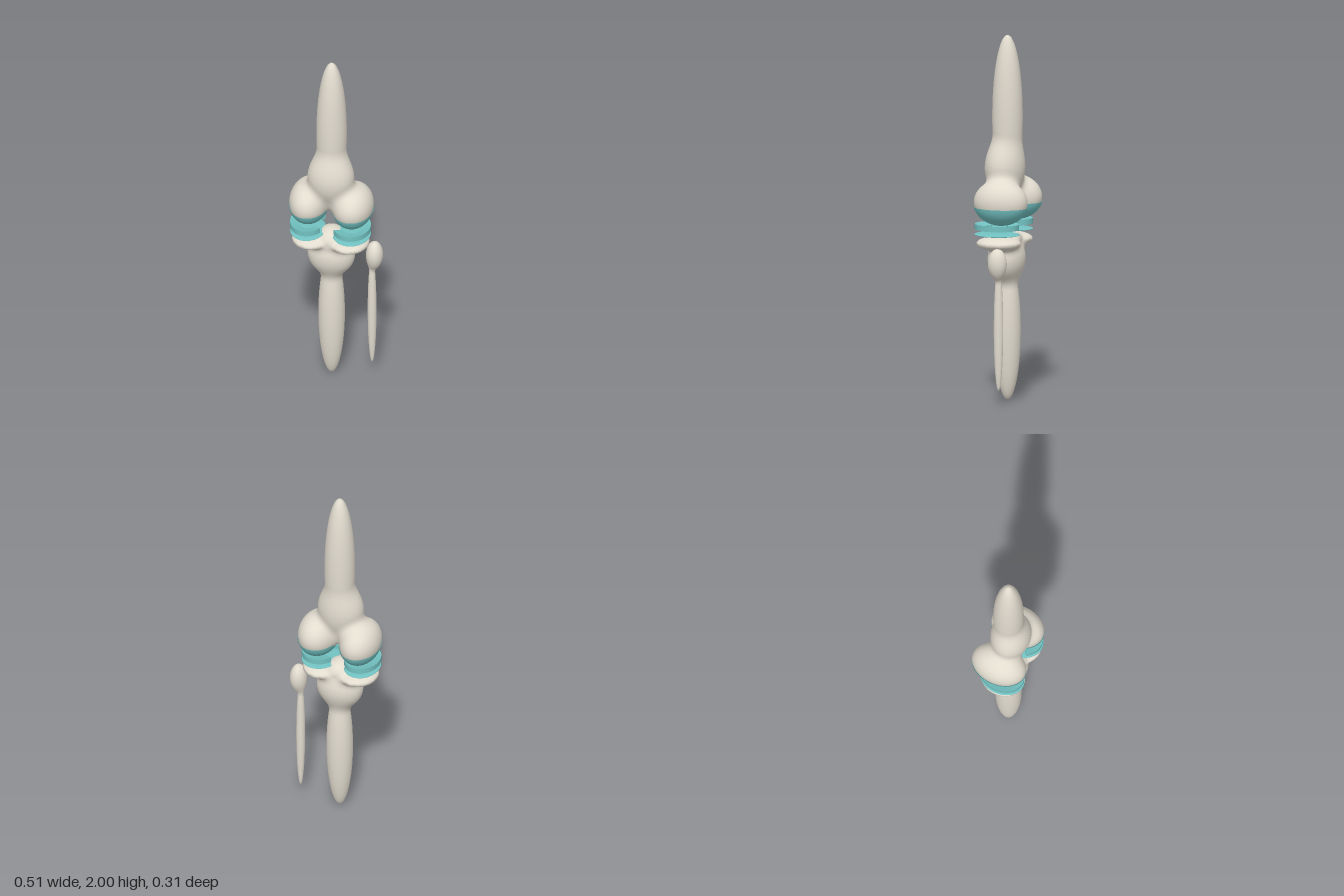
import * as THREE from 'three';

const bone = new THREE.MeshStandardMaterial({ color: 0xe2dccf });
const cartilage = new THREE.MeshStandardMaterial({ color: 0x73c2c2, side: THREE.DoubleSide });

// Approximate distance from a point to an ellipsoid
function ellipsoid([cx, cy, cz], [rx, ry, rz]) {
  return (x, y, z) => {
    const a = (x - cx) / rx, b = (y - cy) / ry, c = (z - cz) / rz;
    const k0 = Math.hypot(a, b, c);
    const k1 = Math.hypot(a / rx, b / ry, c / rz);
    return k1 < 1e-9 ? -Math.min(rx, ry, rz) : (k0 * (k0 - 1)) / k1;
  };
}

// Ellipsoids melted together; each entry is [centre, radii, blend width]
function blend(lobes) {
  const parts = lobes.map(([c, r, k]) => ({ f: ellipsoid(c, r), k }));
  return (x, y, z) => {
    let d = parts[0].f(x, y, z);
    for (const { f, k } of parts.slice(1)) {
      const e = f(x, y, z), h = Math.max(k - Math.abs(d - e), 0) / k;
      d = Math.min(d, e) - h * h * k * 0.25;
    }
    return d;
  };
}

// Smooth skin over a blended field: one vertex per crossed cell, one quad per crossed edge
function skin(field, min, max, step) {
  const n = min.map((m, i) => Math.ceil((max[i] - m) / step) + 1);
  const stride = [1, n[0], n[0] * n[1]];
  const values = new Float32Array(n[0] * n[1] * n[2]);
  const each = (from, visit) => {
    for (let k = from; k < n[2] - 1; k++)
      for (let j = from; j < n[1] - 1; j++)
        for (let i = from; i < n[0] - 1; i++) visit([i, j, k], i + j * stride[1] + k * stride[2]);
  };
  for (let k = 0, q = 0; k < n[2]; k++)
    for (let j = 0; j < n[1]; j++)
      for (let i = 0; i < n[0]; i++) values[q++] = field(min[0] + i * step, min[1] + j * step, min[2] + k * step);

  const gradient = ([x, y, z], e = 0.001) => [
    (field(x + e, y, z) - field(x - e, y, z)) / (2 * e),
    (field(x, y + e, z) - field(x, y - e, z)) / (2 * e),
    (field(x, y, z + e) - field(x, y, z - e)) / (2 * e)];
  const position = [], normal = [], index = [], cellVertex = new Int32Array(values.length).fill(-1);

  each(0, (cell, id) => {
    const sum = [0, 0, 0];
    let hits = 0;
    for (let c = 0; c < 8; c++) {
      for (let a = 0; a < 3; a++) {
        if (c & (1 << a)) continue;
        const bits = [c & 1, (c >> 1) & 1, (c >> 2) & 1];
        const at = id + bits[0] + bits[1] * stride[1] + bits[2] * stride[2];
        const v = values[at], w = values[at + stride[a]];
        if ((v < 0) === (w < 0)) continue;
        bits[a] = v / (v - w);
        bits.forEach((b, i) => { sum[i] += b; });
        hits++;
      }
    }
    if (!hits) return;
    let p = sum.map((s, i) => min[i] + (cell[i] + s / hits) * step);
    for (let pass = 0; pass < 2; pass++) {
      const g = gradient(p), d = field(...p) / Math.max(g[0] ** 2 + g[1] ** 2 + g[2] ** 2, 0.3);
      p = p.map((v, i) => v - g[i] * THREE.MathUtils.clamp(d, -step / 2, step / 2));
    }
    cellVertex[id] = position.length / 3;
    position.push(...p);
    normal.push(...new THREE.Vector3(...gradient(p)).normalize().toArray());
  });

  each(1, (cell, id) => {
    for (let a = 0; a < 3; a++) {
      const inside = values[id] < 0;
      if (inside === values[id + stride[a]] < 0) continue;
      const u = stride[(a + 1) % 3], w = stride[(a + 2) % 3];
      const q = [id, id - u, id - u - w, id - w].map((c) => cellVertex[c]);
      if (!inside) q.reverse();
      index.push(q[0], q[1], q[2], q[0], q[2], q[3]);
    }
  });

  const geometry = new THREE.BufferGeometry();
  geometry.setAttribute('position', new THREE.Float32BufferAttribute(position, 3));
  geometry.setAttribute('normal', new THREE.Float32BufferAttribute(normal, 3));
  geometry.setIndex(index);
  return geometry;
}

function add(parent, name, geometry, material) {
  const mesh = new THREE.Mesh(geometry, material);
  mesh.name = name;
  parent.add(mesh);
  return mesh;
}

// C-shaped wedge: thick at the rim, thin inside, open towards the angle "opening"
function meniscus(name, opening) {
  const group = new THREE.Group();
  group.name = name;
  const profile = [[0.52, -0.006], [1, -0.015], [1, 0.015], [0.52, 0], [0.52, -0.006]]
    .map(([x, y]) => new THREE.Vector2(x, y));
  const gap = 0.6, start = opening + gap, length = Math.PI * 2 - gap * 2;
  // each flat side of the wedge is turned separately, so its edges stay sharp
  for (let i = 0; i < 4; i++)
    add(group, 'wedgeSide', new THREE.LatheGeometry([profile[i], profile[i + 1]], 56, start, length), cartilage);
  for (const angle of [start, start + length])
    add(group, 'hornEnd', new THREE.ShapeGeometry(new THREE.Shape(profile)).rotateY(angle - Math.PI / 2), cartilage);
  return group;
}

export function createModel() {
  const model = new THREE.Group();
  model.name = 'kneeJoint';

  // The two sides of the joint: condyle centre and radii, and the pads under it
  const sides = [
    { side: 'right', centre: [-0.147, 1.098, 0], radii: [0.108, 0.122, 0.154], padX: -0.15, padR: 0.097, opening: Math.PI / 2 },
    { side: 'left', centre: [0.094, 1.098, 0], radii: [0.11, 0.122, 0.149], padX: 0.092, padR: 0.103, opening: -Math.PI / 2 },
  ];

  // Thigh bone: shaft, flare and two condyles
  add(model, 'thighBone', skin(blend([
    [[-0.025, 1.55, 0], [0.083, 0.45, 0.083], 0],
    [[-0.025, 1.27, 0.017], [0.128, 0.15, 0.105], 0.06],
    ...sides.map((s) => [s.centre, s.radii, 0.05]),
  ]), [-0.3, 0.93, -0.2], [0.25, 2.04, 0.2], 0.012), bone);

  // Shin bone: shaft, flare, two-lobed plateau and the central ridge
  add(model, 'shinBone', skin(blend([
    [[-0.025, 0.385, 0], [0.072, 0.385, 0.072], 0],
    [[-0.025, 0.775, 0.005], [0.13, 0.13, 0.1], 0.05],
    [[-0.13, 0.87, 0.017], [0.108, 0.038, 0.122], 0.04],
    [[0.078, 0.87, 0.017], [0.108, 0.038, 0.122], 0.04],
    [[-0.025, 0.895, 0.01], [0.06, 0.047, 0.075], 0.04],
  ]), [-0.3, -0.04, -0.2], [0.25, 1.0, 0.2], 0.012), bone);

  // Slim outer bone with its knob
  add(model, 'calfBone', skin(blend([
    [[0.195, 0.42, -0.02], [0.024, 0.34, 0.026], 0],
    [[0.21, 0.78, -0.018], [0.045, 0.08, 0.052], 0.04],
  ]), [0.13, 0.05, -0.1], [0.29, 0.9, 0.07], 0.008), bone);

  for (const { side, centre, radii, padX, padR, opening } of sides) {
    // Cartilage cap under the condyle
    const cap = add(model, side + 'CondyleCartilage',
      new THREE.SphereGeometry(1, 56, 24, 0, Math.PI * 2, 1.78, Math.PI - 1.78), cartilage);
    cap.position.set(...centre);
    cap.scale.set(...radii.map((r) => r + 0.004));

    // Meniscus ring and the thin lens of cartilage below it
    const ring = meniscus(side + 'Meniscus', opening);
    ring.position.set(padX, 0.965, 0.022);
    ring.scale.set(padR, 1, 0.122);
    model.add(ring);

    const lens = add(model, side + 'PlateauCartilage', new THREE.SphereGeometry(1, 56, 16), cartilage);
    lens.position.set(padX, 0.922, 0.022);
    lens.scale.set(padR, 0.009, 0.125);
  }
  return model;
}
